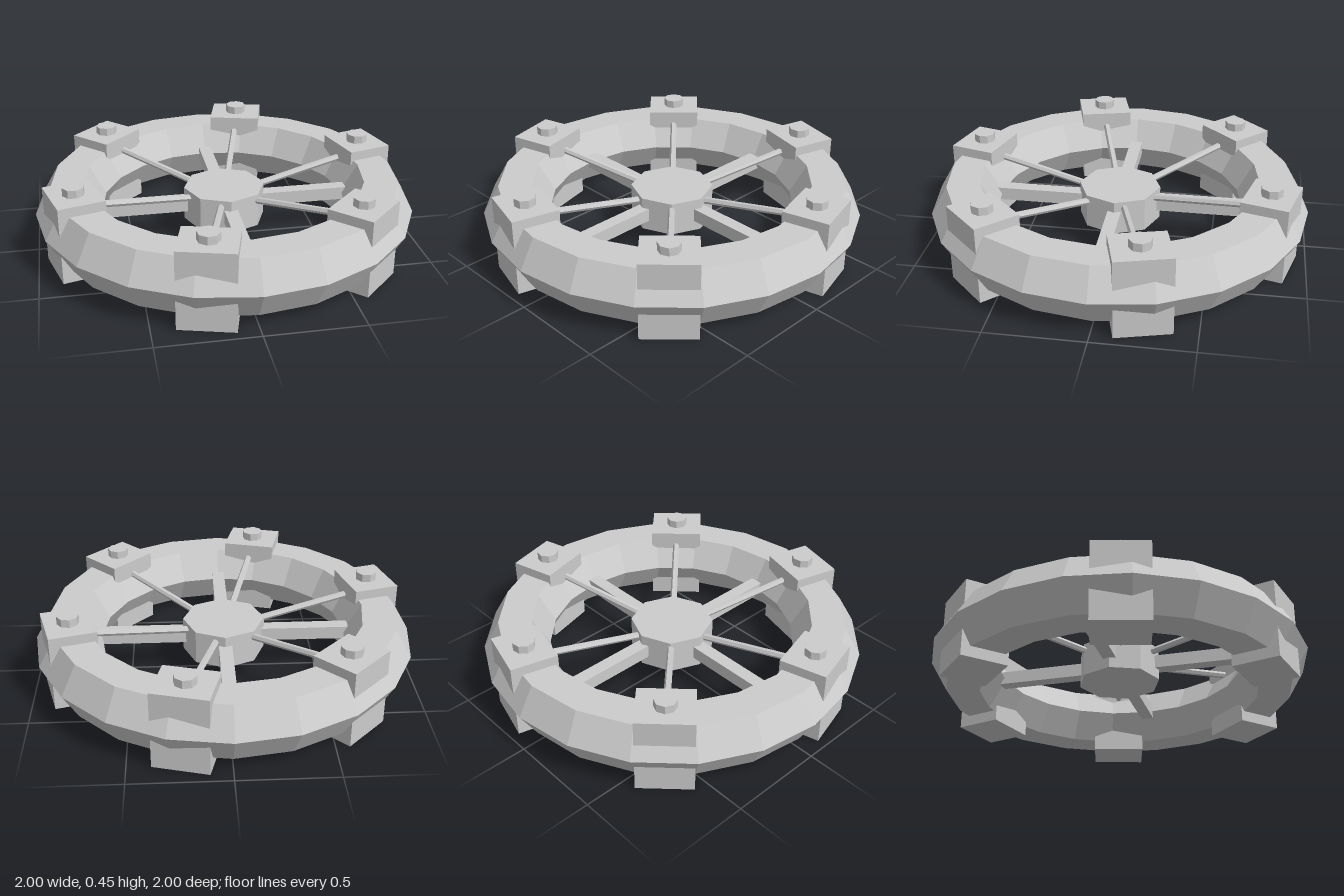
import * as THREE from 'three';

export function createModel() {
  const root = new THREE.Group();
  root.name = 'spokedRing';
  const grey = new THREE.MeshStandardMaterial({ color: 0xcccccc, flatShading: true });
  grey.name = 'light grey';

  const midY = 0.208;   // height of the ring's centre line
  const ringR = 0.826;  // radius of the ring's centre line

  const add = (parent, name, geometry, x = 0, y = 0, z = 0) => {
    const mesh = new THREE.Mesh(geometry, grey);
    mesh.name = name;
    mesh.position.set(x, y, z);
    parent.add(mesh);
    return mesh;
  };

  // Outer ring with a hexagonal section
  add(root, 'ring', new THREE.TorusGeometry(ringR, 0.174, 6, 20).rotateX(Math.PI / 2), 0, midY, 0);

  // Octagonal hub
  add(root, 'hub', new THREE.CylinderGeometry(0.217, 0.217, 0.18, 8), 0, midY, 0);

  // Four thick level bars between hub and ring
  const barGeo = new THREE.BoxGeometry(0.52, 0.07, 0.07);
  for (let i = 0; i < 4; i++) {
    const arm = new THREE.Group();
    arm.name = 'crossArm';
    arm.rotation.y = i * Math.PI / 2;
    add(arm, 'crossBar', barGeo, 0.41, midY, 0);
    root.add(arm);
  }

  // Six clamp blocks, each with a bolt head and a thin rising rod to the hub
  const blockGeo = new THREE.BoxGeometry(0.245, 0.41, 0.284);
  const boltGeo = new THREE.CylinderGeometry(0.057, 0.057, 0.055, 8);
  const from = new THREE.Vector2(0.1, 0.248);
  const to = new THREE.Vector2(0.78, 0.338);
  const slope = to.clone().sub(from);
  const rodGeo = new THREE.CylinderGeometry(0.018, 0.018, slope.length(), 6).rotateZ(-Math.PI / 2);
  for (let i = 0; i < 6; i++) {
    const clamp = new THREE.Group();
    clamp.name = 'clamp';
    clamp.rotation.y = Math.PI / 12 + i * Math.PI / 3;
    add(clamp, 'block', blockGeo, ringR, 0.205, 0);
    add(clamp, 'bolt', boltGeo, ringR, 0.4255, 0);
    const rod = add(clamp, 'rod', rodGeo, (from.x + to.x) / 2, (from.y + to.y) / 2, 0);
    rod.rotation.z = slope.angle();
    root.add(clamp);
  }
  return root;
}
